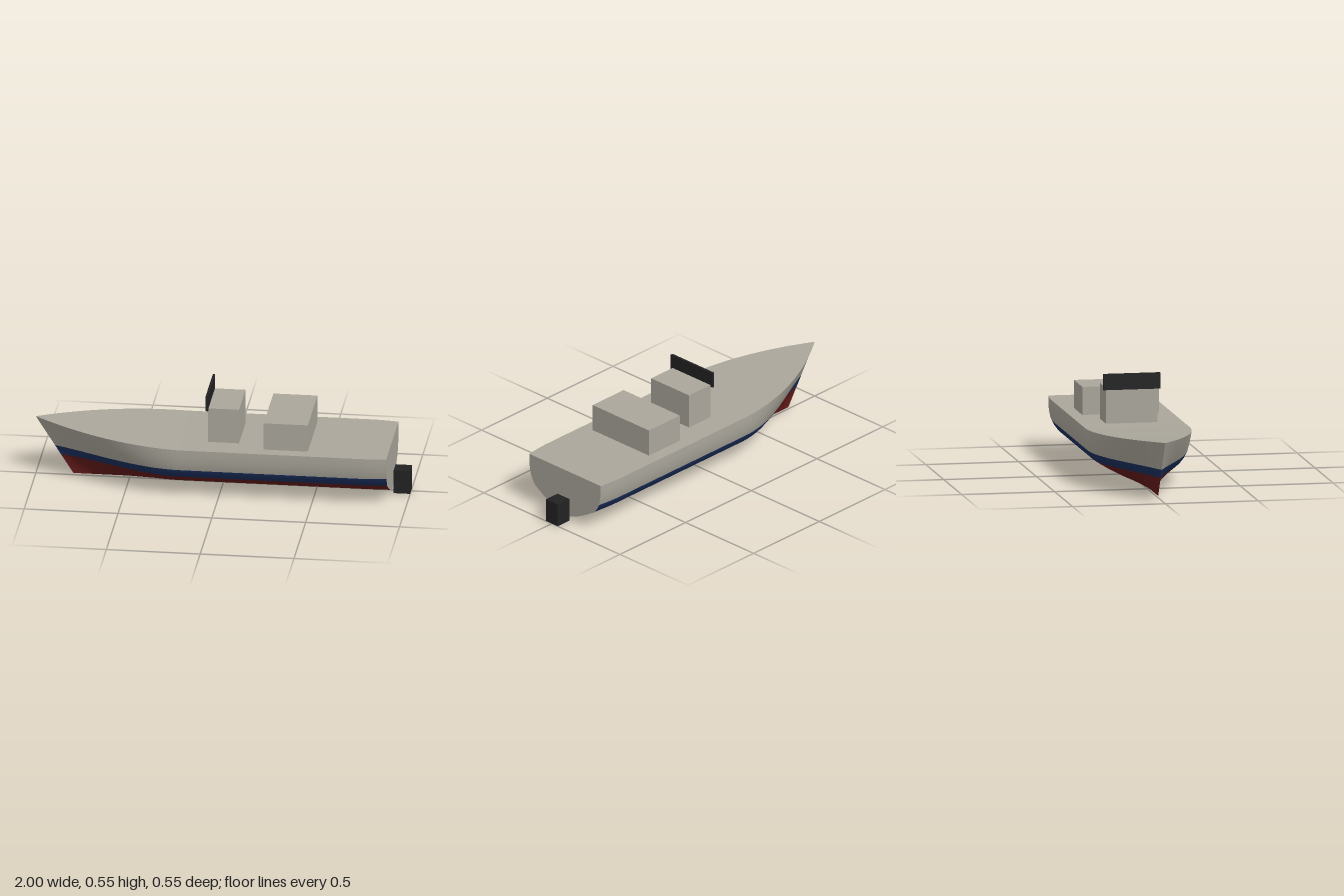
import * as THREE from 'three';

const mat = (name, color) => {
  const m = new THREE.MeshStandardMaterial({ color });
  m.name = name;
  return m;
};

// Midship half-section from keel to deck edge: [half width, height]
const SECTION = [
  [0, 0.01], [0.045, 0.02], [0.1, 0.04], [0.16, 0.07], [0.21, 0.1], [0.232, 0.115],
  [0.25, 0.14], [0.263, 0.165], [0.272, 0.21], [0.275, 0.25], [0.275, 0.283],
];
const KEEL = 0.01, DECK = 0.283, STRIPE_LOW = 5, STRIPE_TOP = 7;
const STERN = 0.9, SHOULDER = -0.2, COLS = 64;

// Point on the +z side: u runs bow to stern, j is the section level
function hullPoint(u, j) {
  const [w, y0] = SECTION[j];
  const bowRise = 0.042 * Math.max(0, (y0 - 0.165) / (DECK - 0.165));
  const stemX = -0.8 - 0.2 * (y0 + bowRise - KEEL) / (0.325 - KEEL);
  // More columns near the bow
  const x = stemX + (STERN - stemX) * Math.pow(u, 1.4);
  const s = Math.min(1, (x - stemX) / (SHOULDER - stemX));
  const v = (y0 - KEEL) / (DECK - KEEL);
  // Full waterlines at the deck, hollow ones near the keel
  const full = 2 * s - s * s, hollow = s * s * (3 - 2 * s);
  const taper = 1 - 0.047 * Math.pow(Math.max(0, (x - 0.76) / 0.14), 1.5);
  const y = y0 + bowRise * Math.pow(1 - s, 1.2);
  return [x, y, w * taper * (hollow + (full - hollow) * v)];
}

function build(positions, index) {
  const g = new THREE.BufferGeometry();
  g.setAttribute('position', new THREE.Float32BufferAttribute(positions, 3));
  g.setIndex(index);
  g.computeVertexNormals();
  return g;
}

// One side of the hull with a material group for each paint band
function hullSide(side) {
  const pos = [], idx = [], rows = SECTION.length, n = COLS + 1;
  for (let j = 0; j < rows; j++)
    for (let i = 0; i < n; i++) {
      const [x, y, z] = hullPoint(i / COLS, j);
      pos.push(x, y, z * side);
    }
  for (let j = 0; j < rows - 1; j++)
    for (let i = 0; i < COLS; i++) {
      const a = j * n + i, b = a + 1, c = b + n, d = a + n;
      if (side > 0) idx.push(a, b, c, a, c, d);
      else idx.push(a, c, b, a, d, c);
    }
  const g = build(pos, idx), per = COLS * 6;
  g.addGroup(0, STRIPE_LOW * per, 0);
  g.addGroup(STRIPE_LOW * per, (STRIPE_TOP - STRIPE_LOW) * per, 1);
  g.addGroup(STRIPE_TOP * per, (rows - 1 - STRIPE_TOP) * per, 2);
  return g;
}

// Flat strip between mirrored points; each pair spans -z to +z
function strip(points) {
  const pos = [], idx = [];
  points.forEach(([x, y, z], i) => {
    pos.push(x, y, -z, x, y, z);
    if (i > 0) {
      const a = 2 * i - 2;
      idx.push(a, a + 1, a + 3, a, a + 3, a + 2);
    }
  });
  return build(pos, idx);
}

export function createModel() {
  const group = new THREE.Group();
  const grey = mat('warm grey', 0xaaa69b);
  const navy = mat('navy', 0x1b2f5e);
  const red = mat('dark red', 0x641a1a);
  const black = mat('black', 0x222222);

  const add = (name, geometry, material) => {
    const m = new THREE.Mesh(geometry, material);
    m.name = name;
    group.add(m);
  };
  // Box from its x range, y range and half depth
  const box = (name, x0, x1, y0, y1, hz, material) => {
    const g = new THREE.BoxGeometry(x1 - x0, y1 - y0, hz * 2);
    g.translate((x0 + x1) / 2, (y0 + y1) / 2, 0);
    add(name, g, material);
  };

  // Hull shell
  add('hullLeft', hullSide(1), [red, navy, grey]);
  add('hullRight', hullSide(-1), [red, navy, grey]);

  // Deck and transom
  const top = SECTION.length - 1;
  add('deck', strip(Array.from({ length: COLS + 1 }, (_, i) => hullPoint(i / COLS, top))), grey);
  add('transom', strip(SECTION.map((_, j) => hullPoint(1, top - j))), grey);

  // Deckhouses, screen and stern drive
  box('frontCabin', -0.065, 0.1, 0.275, 0.475, 0.139, grey);
  box('rearCabin', 0.24, 0.475, 0.275, 0.433, 0.207, grey);
  box('screenPanel', -0.076, -0.063, 0.464, 0.55, 0.153, black);
  box('sternDrive', 0.912, 1, 0, 0.13, 0.043, black);

  return group;
}
